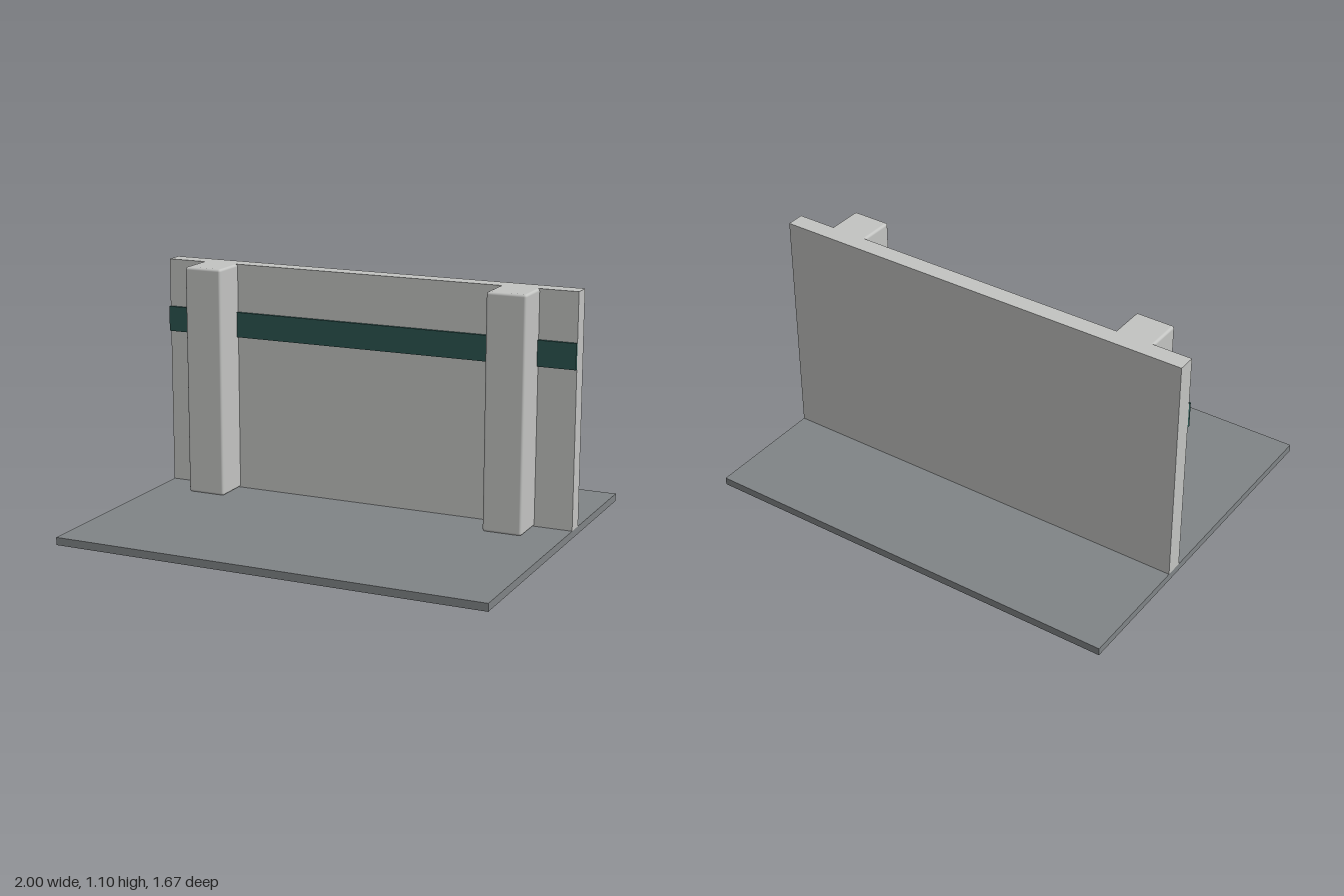
import * as THREE from 'three';
import { RoundedBoxGeometry } from 'three/addons/geometries/RoundedBoxGeometry.js';

const material = (name, color) => {
  const m = new THREE.MeshStandardMaterial({ color });
  m.name = name;
  return m;
};

export function createModel() {
  const concrete = material('pale concrete', 0xc3c4c2);
  const paving = material('grey paving', 0x808486);
  const green = material('dark green', 0x2c5550);

  const model = new THREE.Group();
  model.name = 'wallWithPillars';

  // Adds a box spanning two corners, with softened edges if a radius is given
  const addBox = (name, mat, [x0, y0, z0], [x1, y1, z1], radius = 0) => {
    const size = [x1 - x0, y1 - y0, z1 - z0];
    const geometry = radius
      ? new RoundedBoxGeometry(...size, 2, radius)
      : new THREE.BoxGeometry(...size);
    const mesh = new THREE.Mesh(geometry, mat);
    mesh.name = name;
    mesh.position.set((x0 + x1) / 2, (y0 + y1) / 2, (z0 + z1) / 2);
    model.add(mesh);
  };

  // Ground slab and upright wall
  addBox('groundSlab', paving, [-1, 0, -0.833], [1, 0.035, 0.833]);
  addBox('wall', concrete, [-1, 0.035, -0.275], [1, 1.1, -0.193]);

  // Painted band along the front of the wall
  addBox('band', green, [-1, 0.76, -0.188], [1, 0.877, -0.179]);
  addBox('bandBacking', green, [-1, 0.76, -0.193], [1, 0.877, -0.188]);

  // Mirrored pillars with softened edges, set slightly into the wall
  for (const [name, x] of [['leftPillar', 0.733], ['rightPillar', -0.733]]) {
    addBox(name, concrete, [x - 0.091, 0.035, -0.21], [x + 0.091, 1.1, -0.025], 0.012);
  }

  return model;
}
